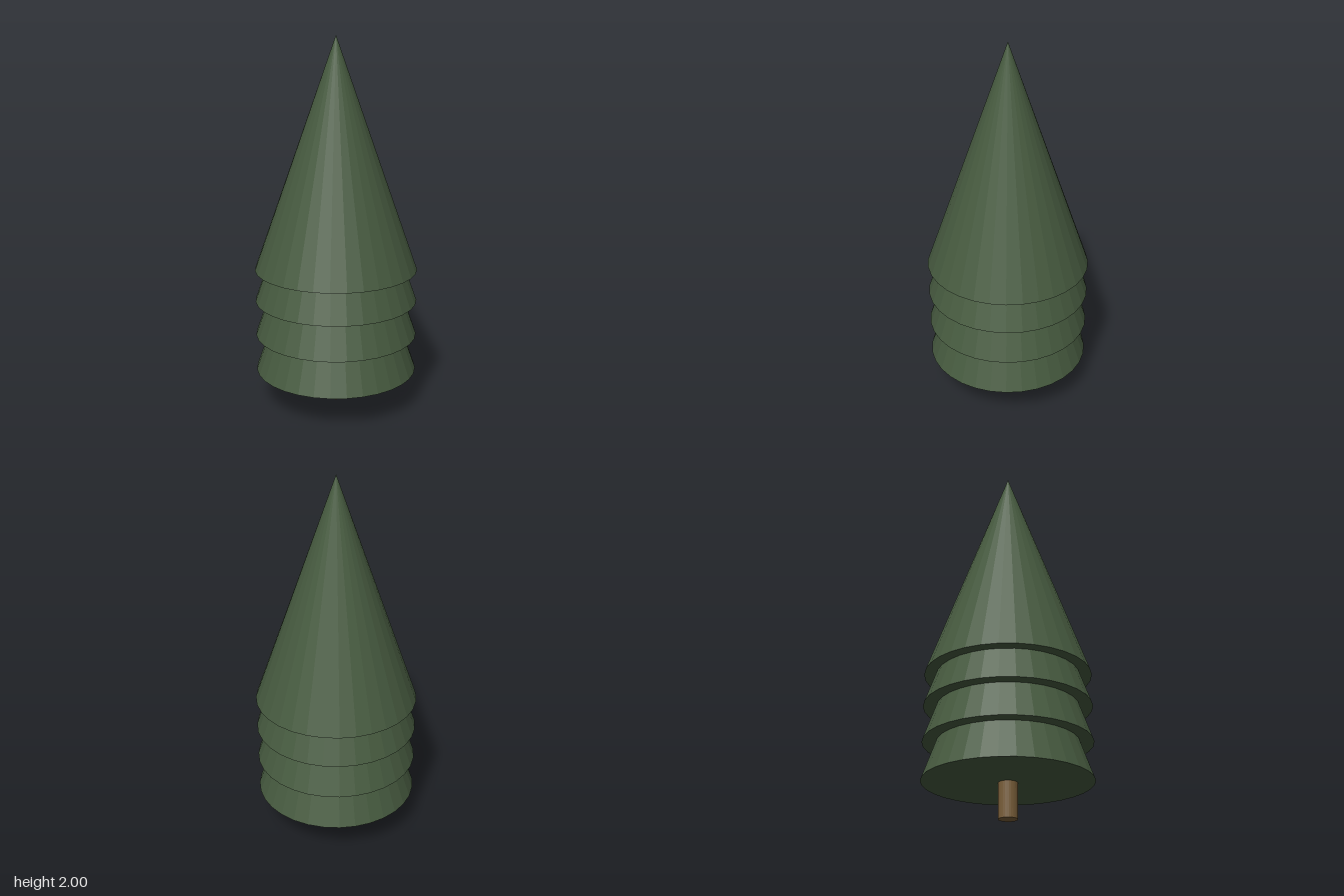
import * as THREE from 'three';

export function createModel() {
  const tree = new THREE.Group();
  tree.name = 'pineTree';

  const needleGreen = new THREE.MeshStandardMaterial({ color: 0x475b40, flatShading: true });
  needleGreen.name = 'needleGreen';
  const barkBrown = new THREE.MeshStandardMaterial({ color: 0x7a5f3a, flatShading: true });
  barkBrown.name = 'barkBrown';

  // Trunk, running up into the lowest tier
  const trunkHeight = 0.3;
  const trunk = new THREE.Mesh(new THREE.CylinderGeometry(0.05, 0.05, trunkHeight, 32), barkBrown);
  trunk.name = 'trunk';
  trunk.position.y = trunkHeight / 2;
  tree.add(trunk);

  // Four equal nested cones, listed by the height of their base
  const coneHeight = 1.245;
  const cone = new THREE.ConeGeometry(0.44, coneHeight, 32);
  [0.185, 0.387, 0.58, 0.755].forEach((base, i) => {
    const tier = new THREE.Mesh(cone, needleGreen);
    tier.name = `foliageTier${i + 1}`;
    tier.position.y = base + coneHeight / 2;
    tree.add(tier);
  });

  return tree;
}
